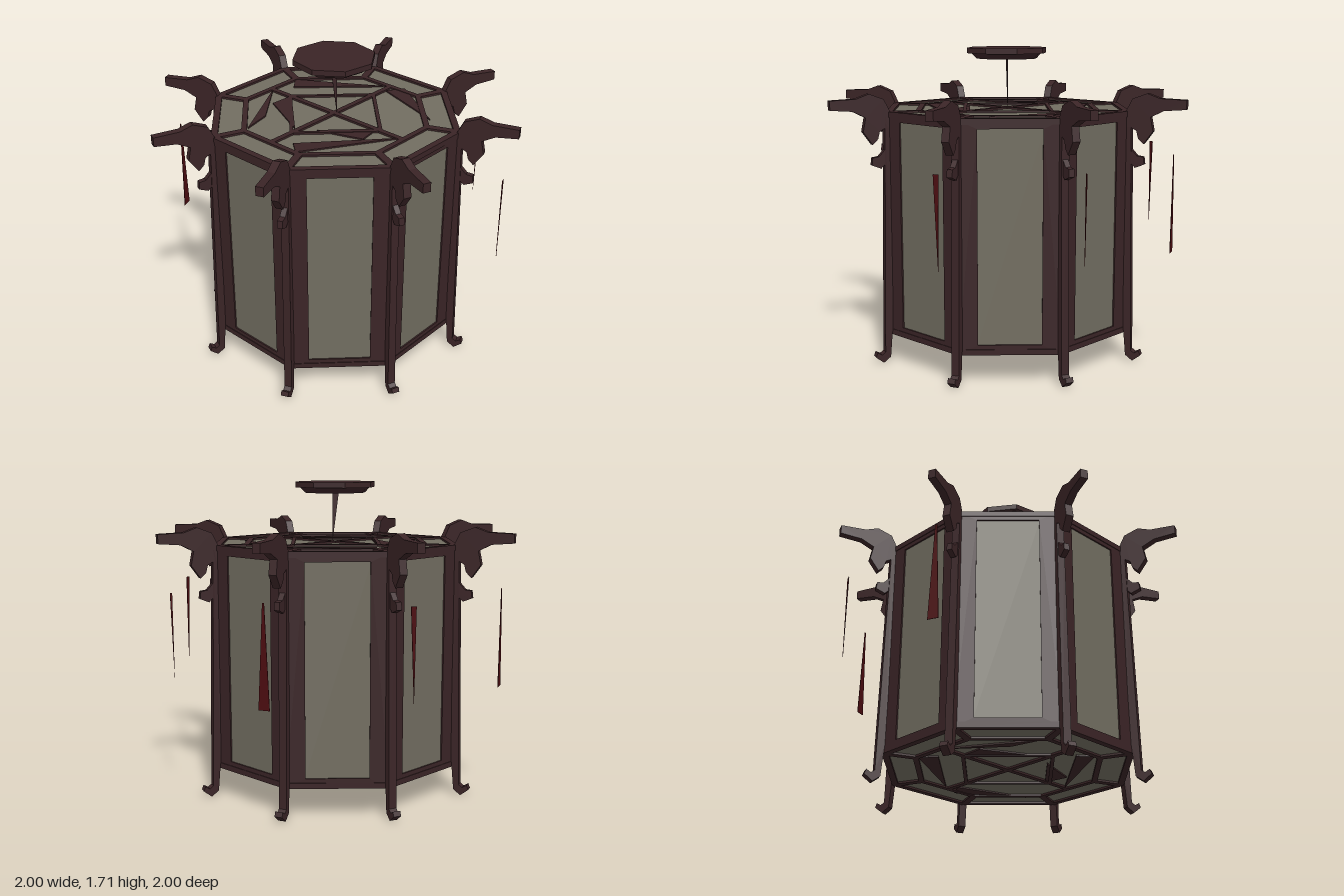
import * as THREE from 'three';

const wood = new THREE.MeshStandardMaterial({ color: 0x3a2426, name: 'darkWood', flatShading: true, side: THREE.DoubleSide });
const paper = new THREE.MeshStandardMaterial({ color: 0x716d60, name: 'greyPaper', flatShading: true, side: THREE.DoubleSide });
const red = new THREE.MeshStandardMaterial({ color: 0x4c0c10, name: 'tasselRed', flatShading: true, side: THREE.DoubleSide });

const R = 0.7, BOTTOM = 0.16, TOP = 1.38;
const rad = THREE.MathUtils.degToRad;
const polar = ([deg, r]) => new THREE.Vector2(r * Math.cos(rad(deg)), r * Math.sin(rad(deg)));
const shapeOf = (pts) => new THREE.Shape(pts.map((p) => (p.isVector2 ? p : new THREE.Vector2(...p))));

function add(parent, geometry, material, name) {
  const mesh = new THREE.Mesh(geometry, material);
  mesh.name = name;
  parent.add(mesh);
  return mesh;
}

// Side profile (radius, height) given a thickness centred on z = 0
function plate(parent, pts, thick, material, name) {
  const g = new THREE.ExtrudeGeometry(shapeOf(pts), { depth: thick, bevelEnabled: false });
  g.translate(0, 0, -thick / 2);
  return add(parent, g, material, name);
}

// Horizontal bar between two polar points
function bar(parent, from, to, width, name) {
  const a = polar(from), b = polar(to), d = b.clone().sub(a);
  const mesh = add(parent, new THREE.BoxGeometry(d.length(), 0.03, width), wood, name);
  mesh.position.set((a.x + b.x) / 2, 0, (a.y + b.y) / 2);
  mesh.rotation.y = -Math.atan2(d.y, d.x);
}

// Octagonal lattice used as lid and floor
function lattice(name) {
  const g = new THREE.Group();
  g.name = name;
  add(g, new THREE.CylinderGeometry(R - 0.02, R - 0.02, 0.008, 8), paper, 'latticePaper');
  for (let k = 0; k < 8; k++) {
    const a = 45 * k;
    bar(g, [a, 0.685], [a + 45, 0.685], 0.035, 'outerRim');
    bar(g, [a, 0.52], [a + 45, 0.52], 0.03, 'innerRing');
    bar(g, [a, 0.51], [a, 0.69], 0.04, 'rimSpoke');
  }
  for (let k = 0; k < 4; k++) {
    const a = 67.5 + 90 * k;
    bar(g, [a, 0], [a, 0.49], 0.03, 'crossBar');
    bar(g, [a, 0.33], [a + 90, 0.33], 0.02, 'innerSquare');
  }
  // Tapered slats around the squares
  const slats = [
    [[248, 0.47], [183, 0.49], [200, 0.37]], [[68, 0.45], [138, 0.5], [145, 0.42]],
    [[333, 0.46], [269, 0.51], [262, 0.42]], [[346, 0.52], [34, 0.52], [340, 0.42]],
    [[226, 0.36], [249, 0.33], [162, 0.28]], [[138, 0.23], [66, 0.3], [90, 0.35]],
  ];
  for (const s of slats) {
    const m = plate(g, s.map(polar), 0.024, wood, 'taperedSlat');
    m.rotation.x = Math.PI / 2;
  }
  return g;
}

// One wall: wooden frame with a paper pane
function wall(parent, deg) {
  const g = new THREE.Group();
  g.name = 'wallPanel';
  g.rotation.y = -rad(deg);
  parent.add(g);
  const half = R * Math.sin(Math.PI / 8), face = R * Math.cos(Math.PI / 8);
  const rect = (w, y0, y1) => [[-w, y0], [w, y0], [w, y1], [-w, y1]];
  const frame = shapeOf(rect(half, BOTTOM, TOP));
  frame.holes.push(shapeOf(rect(0.165, 0.21, 1.33)));
  const fg = new THREE.ExtrudeGeometry(frame, { depth: 0.02, bevelEnabled: false });
  fg.rotateY(Math.PI / 2).translate(face - 0.02, 0, 0);
  add(g, fg, wood, 'wallFrame');
  const pane = add(g, new THREE.BoxGeometry(0.008, 1.13, 0.34), paper, 'paperPane');
  pane.position.set(face - 0.012, 0.77, 0);
}

const armProfile = [
  [0.68, 1.37], [0.72, 1.45], [0.8, 1.48], [0.87, 1.455], [1.01, 1.45], [1.01, 1.4], [0.95, 1.395],
  [0.89, 1.39], [0.82, 1.355], [0.835, 1.28], [0.785, 1.21], [0.755, 1.24], [0.745, 1.28], [0.71, 1.3], [0.69, 1.3],
];
const knobProfile = [[0.7, 1.2], [0.75, 1.145], [0.785, 1.14], [0.79, 1.1], [0.74, 1.08], [0.7, 1.12]];
const legProfile = [
  [0.68, 1.36], [0.715, 1.36], [0.74, 0.06], [0.76, 0.045], [0.785, 0.06], [0.795, 0.035], [0.75, 0], [0.71, 0.03], [0.695, 0.2],
];

// Corner post with carved arm, small knob and hooked foot
function corner(parent, deg) {
  const g = new THREE.Group();
  g.name = 'corner';
  g.rotation.y = -rad(deg);
  parent.add(g);
  plate(g, armProfile, 0.042, wood, 'carvedArm');
  plate(g, knobProfile, 0.03, wood, 'knob');
  plate(g, legProfile, 0.042, wood, 'hookedLeg');
  return g;
}

// Flat tassel hanging below the tip of an arm
function tassel(parent, pts, radial) {
  const m = plate(parent, pts, 0.003, red, 'tassel');
  m.position.x = 0.945;
  if (!radial) m.rotation.y = Math.PI / 2;
}

export function createModel() {
  const model = new THREE.Group();
  model.name = 'octagonalLantern';

  const body = new THREE.Group();
  body.name = 'lanternBody';
  body.rotation.y = rad(10);
  model.add(body);

  const corners = [];
  for (let k = 0; k < 8; k++) {
    wall(body, 45 * k + 22.5);
    corners.push(corner(body, 45 * k));
  }

  // Lid and floor
  const lid = lattice('lidLattice');
  lid.position.y = TOP - 0.012;
  const floor = lattice('floorLattice');
  floor.position.y = BOTTOM + 0.012;
  body.add(lid, floor);

  // Tassels: broad, slim and edge-on
  const broad = [[-0.004, 1.16], [0.006, 1.16], [0.03, 0.63], [-0.03, 0.63]];
  const slim = [[-0.016, 1.14], [0.014, 1.14], [0.006, 0.66]];
  const edge = [[-0.008, 1.14], [0.004, 1.14], [-0.01, 0.68]];
  tassel(corners[5], broad);
  tassel(corners[7], broad);
  tassel(corners[1], slim);
  tassel(corners[6], slim);
  tassel(corners[0], edge, true);

  // Ceiling cap and hanging spike
  const cap = new THREE.Group();
  cap.name = 'ceilingCap';
  add(cap, new THREE.CylinderGeometry(0.225, 0.225, 0.03, 8), wood, 'capPlate').position.y = 1.695;
  add(cap, new THREE.CylinderGeometry(0.2, 0.17, 0.03, 8), wood, 'capBase').position.y = 1.665;
  plate(cap, [[-0.02, 1.655], [0.016, 1.655], [0.016, 1.38]], 0.004, wood, 'hangingSpike');
  model.add(cap);

  return model;
}
